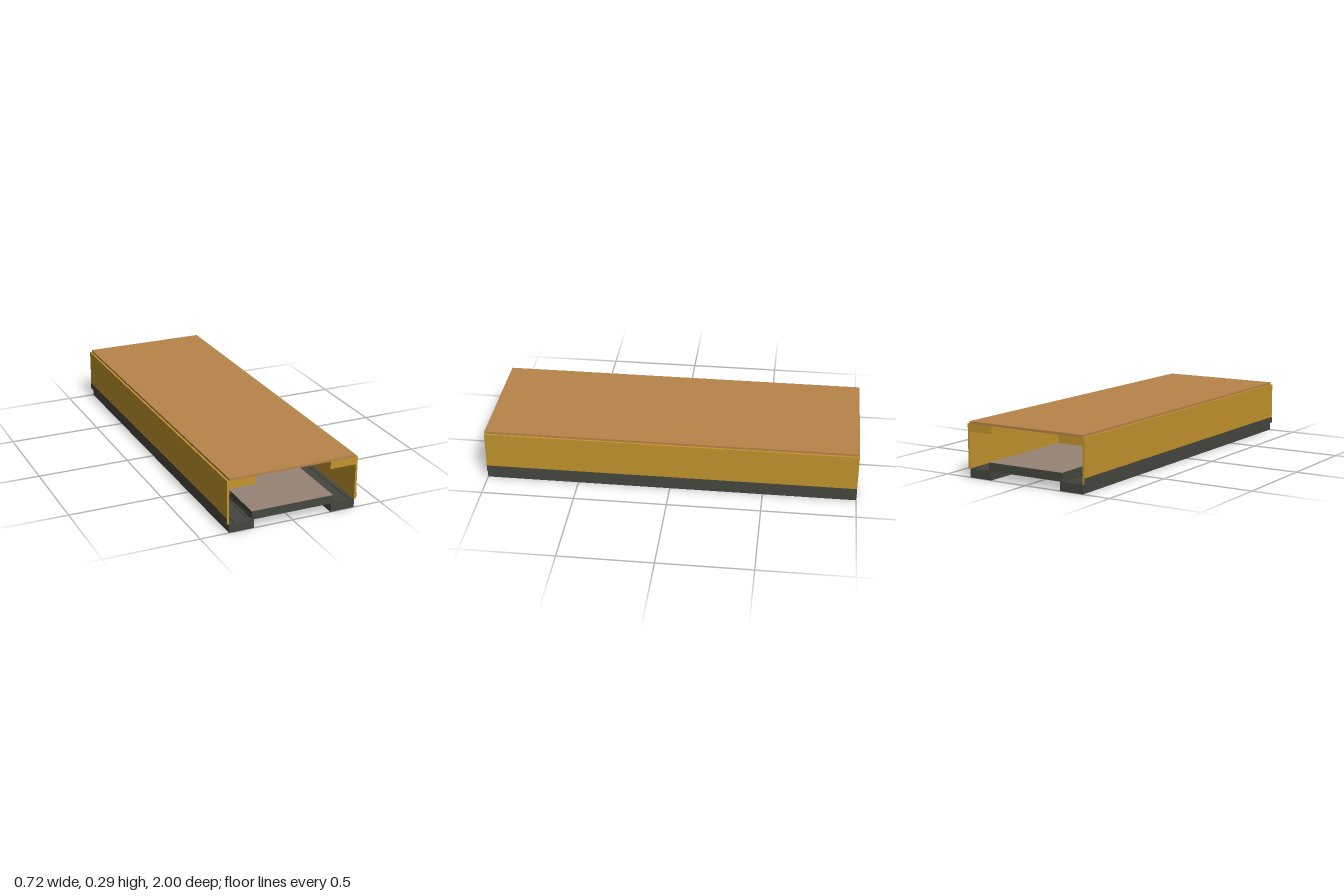
import * as THREE from 'three';

export function createModel() {
  const model = new THREE.Group();
  model.name = 'stationSegment';

  const mat = (name, color) => {
    const m = new THREE.MeshStandardMaterial({ color });
    m.name = name;
    return m;
  };
  const roofBrown = mat('roofBrown', 0xb8844a);
  const wallOchre = mat('wallOchre', 0xc4952d);
  const darkConcrete = mat('darkConcrete', 0x474740);
  const floorTaupe = mat('floorTaupe', 0x978475);

  // Box given by its limits on each axis
  const box = (parent, name, material, [x0, x1], [y0, y1], [z0, z1]) => {
    const mesh = new THREE.Mesh(new THREE.BoxGeometry(x1 - x0, y1 - y0, z1 - z0), material);
    mesh.position.set((x0 + x1) / 2, (y0 + y1) / 2, (z0 + z1) / 2);
    mesh.name = name;
    parent.add(mesh);
    return mesh;
  };
  const full = [-1, 1];

  // Roof panel and central platform with paved top and underside
  box(model, 'roof', roofBrown, [-0.347, 0.347], [0.279, 0.291], full);
  const sides = [darkConcrete, darkConcrete, floorTaupe, floorTaupe, darkConcrete, darkConcrete];
  box(model, 'platform', sides, [-0.225, 0.225], [0.047, 0.092], full);

  // Rail profile: foot, web and head
  const railShape = new THREE.Shape([
    [-0.005, 0], [0.005, 0], [0.005, 0.001], [0.001, 0.002], [0.001, 0.004], [0.0025, 0.005],
    [0.0025, 0.007], [-0.0025, 0.007], [-0.0025, 0.005], [-0.001, 0.004], [-0.001, 0.002], [-0.005, 0.001],
  ].map(([x, y]) => new THREE.Vector2(x, y)));
  const railGeometry = new THREE.ExtrudeGeometry(railShape, { depth: 2, bevelEnabled: false });

  for (const s of [-1, 1]) {
    const side = new THREE.Group();
    side.name = s > 0 ? 'leftSide' : 'rightSide';
    model.add(side);
    const span = (a, b) => (s > 0 ? [a, b] : [-b, -a]);

    // Track bed and outer wall with a dark plinth band
    box(side, 'trackBed', darkConcrete, span(0.213, 0.347), [0, 0.047], full);
    box(side, 'wall', wallOchre, span(0.347, 0.358), [0.047, 0.279], full);
    box(side, 'wallPlinth', darkConcrete, span(0.358, 0.3595), [0.046, 0.08], full);

    // Thin corner plates under the roof at both ends
    for (const e of [-1, 1]) {
      const z = e > 0 ? [0.994, 1] : [-1, -0.994];
      box(side, 'cornerPlate', wallOchre, span(0.205, 0.347), [0.238, 0.279], z);
    }

    // Rails, conductor strip and sleepers
    for (const x of [0.24, 0.32]) {
      const rail = new THREE.Mesh(railGeometry, darkConcrete);
      rail.position.set(s * x, 0.047, -1);
      rail.name = 'rail';
      side.add(rail);
    }
    box(side, 'conductorStrip', darkConcrete, span(0.225, 0.228), [0.054, 0.057], full);
    const count = 45;
    for (let i = 0; i < count; i++) {
      const z = -1 + (2 * (i + 0.5)) / count;
      box(side, 'sleeper', darkConcrete, span(0.226, 0.334), [0.046, 0.0485], [z - 0.009, z + 0.009]);
    }
  }
  return model;
}
